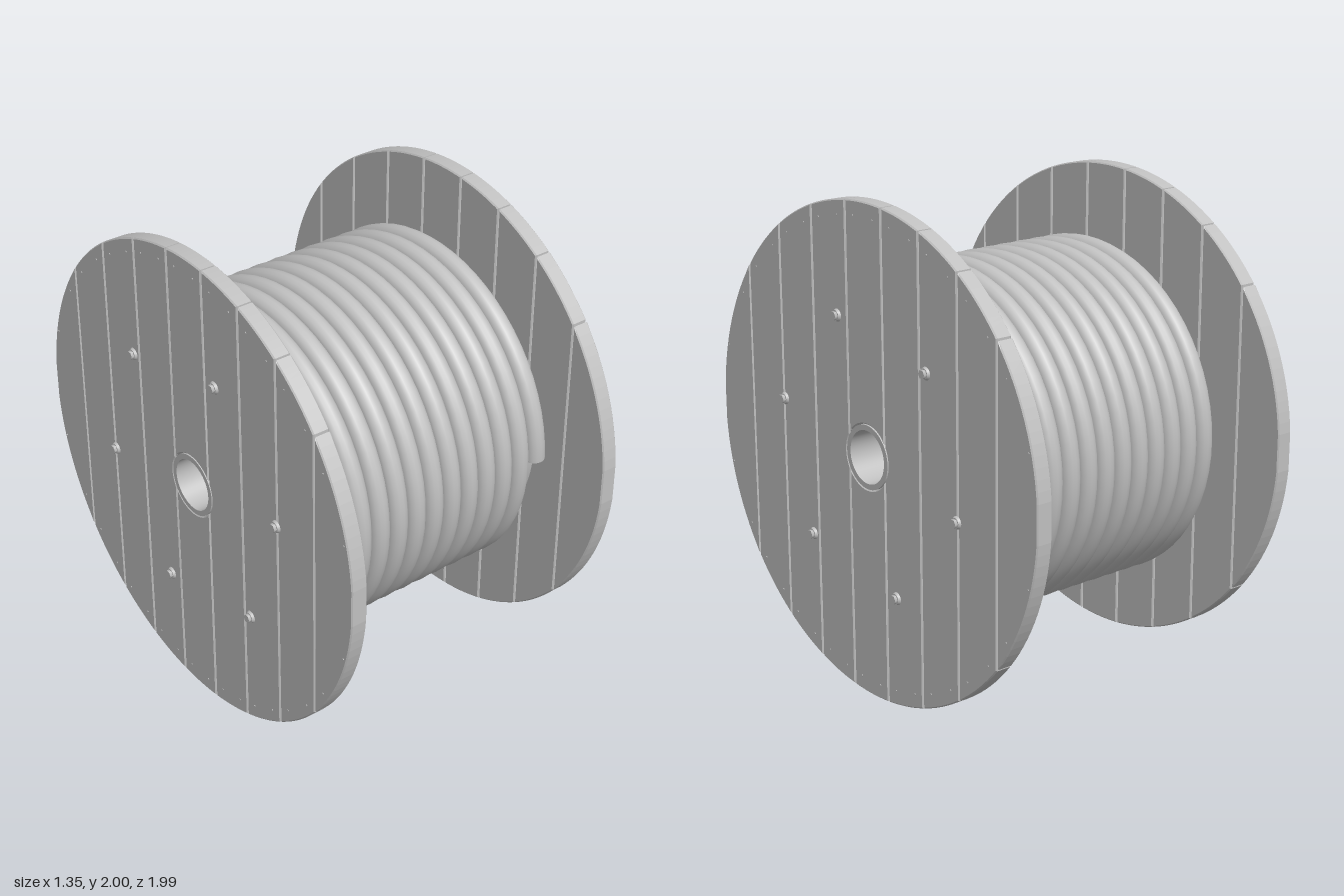
import * as THREE from 'three';
import { toCreasedNormals } from 'three/addons/utils/BufferGeometryUtils.js';

const grey = new THREE.MeshStandardMaterial({ color: 0xc0c0c0 });
grey.name = 'light grey';

const INNER = 0.585, OUTER = 0.655;   // flange faces along x
const PLANKS = 9, PITCH = 2 / PLANKS, GAP = 0.006;
const BORE = 0.132;                   // hole in the planks for the hub pipe

function add(parent, name, geometry) {
  const mesh = new THREE.Mesh(geometry, grey);
  mesh.name = name;
  parent.add(mesh);
  return mesh;
}

// Ring of revolution about the x axis, with sharp edges
function ring(rIn, rOut, x0, x1, segments = 96) {
  const profile = [[rIn, x0], [rOut, x0], [rOut, x1], [rIn, x1], [rIn, x0]]
    .map(([r, x]) => new THREE.Vector2(r, x));
  const g = new THREE.LatheGeometry(profile, segments);
  g.rotateZ(-Math.PI / 2);
  return toCreasedNormals(g, 0.6);
}

// Points of a circle of radius r between horizontal positions a and b
function arc(r, a, b, sign, n = 14) {
  const t0 = Math.asin(THREE.MathUtils.clamp(a / r, -1, 1));
  const t1 = Math.asin(THREE.MathUtils.clamp(b / r, -1, 1));
  return Array.from({ length: n + 1 }, (_, i) => {
    const t = t0 + (t1 - t0) * i / n;
    return new THREE.Vector2(r * Math.sin(t), sign * r * Math.cos(t));
  });
}

// Outlines of one plank: the middle one is cut in two by the bore
function plankOutlines(a, b) {
  if (a < 0 && b > 0) {
    return [1, -1].map(s => [...arc(1, a, b, s), ...arc(BORE, b, a, s)]);
  }
  const outline = [...arc(1, a, b, -1)];
  if (Math.abs(b) < BORE) outline.push(...arc(BORE, b, -BORE, -1), ...arc(BORE, -BORE, b, 1).slice(1));
  outline.push(...arc(1, b, a, 1));
  if (Math.abs(a) < BORE) outline.push(...arc(BORE, a, BORE, 1), ...arc(BORE, BORE, a, -1).slice(1));
  return [outline];
}

function flange(side) {
  const group = new THREE.Group();
  group.name = side > 0 ? 'leftFlange' : 'rightFlange';
  const bevel = 0.005;

  for (let i = 0; i < PLANKS; i++) {
    const a = Math.max(-1 + i * PITCH + GAP / 2, -0.9985);
    const b = Math.min(-1 + (i + 1) * PITCH - GAP / 2, 0.9985);
    for (const outline of plankOutlines(a, b)) {
      const g = new THREE.ExtrudeGeometry(new THREE.Shape(outline), {
        depth: OUTER - INNER - 2 * bevel, bevelThickness: bevel,
        bevelSize: bevel, bevelOffset: -bevel, bevelSegments: 1,
      });
      g.rotateY(Math.PI / 2);
      g.translate((side > 0 ? INNER : -OUTER) + bevel, 0, 0);
      add(group, 'plank', g);
    }
    // Nail heads near both ends of the plank
    for (const dz of [-0.06, 0.06]) for (const s of [-1, 1]) {
      const z = (a + b) / 2 + dz;
      const nail = add(group, 'nail', new THREE.CylinderGeometry(0.004, 0.004, 0.004, 6));
      nail.rotation.z = -side * Math.PI / 2;
      nail.position.set(side * (OUTER + 0.001), s * (Math.sqrt(1 - z * z) - 0.06), z);
    }
  }

  // Six through-bolts: washer and hexagonal head
  for (let i = 0; i < 6; i++) {
    const t = THREE.MathUtils.degToRad(71.7 + 60 * i);
    const bolt = new THREE.Group();
    bolt.name = 'bolt';
    add(bolt, 'washer', new THREE.CylinderGeometry(0.021, 0.026, 0.01, 20)).position.y = 0.005;
    add(bolt, 'boltHead', new THREE.CylinderGeometry(0.018, 0.018, 0.014, 6).toNonIndexed()).position.y = 0.015;
    bolt.rotation.z = -side * Math.PI / 2;
    bolt.position.set(side * OUTER, 0.56 * Math.sin(t), 0.56 * Math.cos(t));
    group.add(bolt);
  }

  // Narrow spacer disc between drum and planks
  const x = [side * 0.565, side * (INNER + 0.003)].sort((p, q) => p - q);
  add(group, 'spacerDisc', ring(0.12, 0.465, x[0], x[1]));
  return group;
}

// Cable wound twelve times round the drum
class Helix extends THREE.Curve {
  constructor() {
    super();
    this.arcLengthDivisions = 2000;
  }
  getPoint(u, target = new THREE.Vector3()) {
    const t = u * 12 * Math.PI * 2;
    return target.set(-0.535 + 1.06 * u, -0.673 * Math.sin(t), 0.673 * Math.cos(t));
  }
}

export function createModel() {
  const model = new THREE.Group();
  model.name = 'cableReel';
  const reel = new THREE.Group();
  reel.name = 'reel';
  reel.position.y = 1;
  model.add(reel);

  reel.add(flange(1), flange(-1));
  add(reel, 'drum', ring(0.12, 0.627, -0.572, 0.57));
  add(reel, 'hubPipe', ring(0.108, 0.13, -OUTER, OUTER, 48));

  const radius = 0.0445;
  add(reel, 'cable', new THREE.TubeGeometry(new Helix(), 12 * 64, radius, 16));
  // Cut ends of the cable
  for (const [x, s] of [[-0.535, 1], [0.525, -1]]) {
    const end = add(reel, 'cableEnd', new THREE.CircleGeometry(radius, 16));
    end.rotation.x = -s * Math.PI / 2;
    end.position.set(x, 0, 0.673);
  }
  return model;
}
